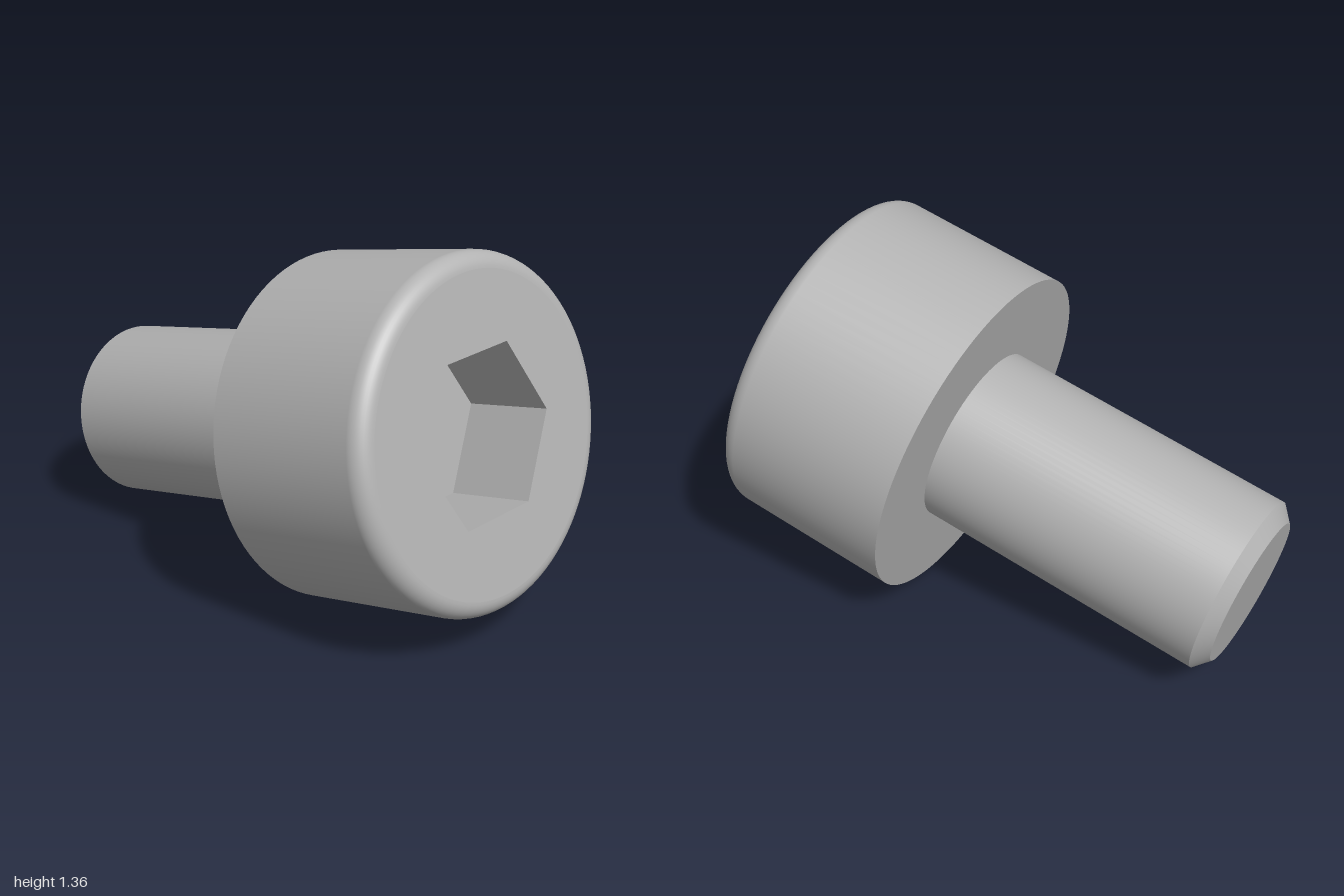
import * as THREE from 'three';

const SEGMENTS = 96;
const HEAD_R = 0.627, HEAD_LEN = 0.68, FILLET = 0.064;
const SHAFT_R = 0.328, RIM_Z = -1.77, TIP_R = 0.272, TIP_Z = -1.82;
const HEX_R = 0.331, HEX_DEPTH = 0.34;

// Surface of revolution about z, from [radius, z] points with z rising
function revolve(points) {
  const profile = points.map(([r, z]) => new THREE.Vector2(r, z));
  return new THREE.LatheGeometry(profile, SEGMENTS).rotateX(Math.PI / 2);
}

export function createModel() {
  const steel = new THREE.MeshStandardMaterial({ color: 0xb3b3b3 });
  steel.name = 'steel';
  const model = new THREE.Group();
  model.name = 'socketHeadScrew';
  const screw = new THREE.Group();
  screw.name = 'screw';
  model.add(screw);

  const add = (name, geometry, z = 0) => {
    const mesh = new THREE.Mesh(geometry, steel);
    mesh.name = name;
    mesh.position.z = z;
    screw.add(mesh);
  };

  // Head wall with its rounded front edge
  const wall = [[HEAD_R, -HEAD_LEN]];
  for (let i = 0; i <= 10; i++) {
    const a = (i / 10) * Math.PI / 2;
    wall.push([HEAD_R - FILLET + FILLET * Math.cos(a), -FILLET + FILLET * Math.sin(a)]);
  }
  add('headWall', revolve(wall));
  add('headUnderside', revolve([[SHAFT_R, -HEAD_LEN], [HEAD_R, -HEAD_LEN]]));

  // Flat front face pierced by the hexagonal socket
  const face = new THREE.Shape().absarc(0, 0, HEAD_R - FILLET, 0, Math.PI * 2, false);
  const hexagon = [];
  for (let i = 0; i < 6; i++) {
    const a = -i * Math.PI / 3;
    hexagon.push(new THREE.Vector2(HEX_R * Math.cos(a), HEX_R * Math.sin(a)));
  }
  face.holes.push(new THREE.Path(hexagon));
  add('headFace', new THREE.ShapeGeometry(face, SEGMENTS));

  // Socket walls, turned inside out so they face the axis
  const socket = new THREE.CylinderGeometry(HEX_R, HEX_R, HEX_DEPTH, 6, 1, true)
    .rotateY(Math.PI / 2).rotateX(Math.PI / 2).scale(-1, 1, 1).toNonIndexed();
  socket.computeVertexNormals();
  add('socketWalls', socket, -HEX_DEPTH / 2);
  add('socketFloor', new THREE.CircleGeometry(HEX_R, 6), -HEX_DEPTH);

  // Plain shaft, chamfer and end
  add('shaft', revolve([[SHAFT_R, RIM_Z], [SHAFT_R, -HEAD_LEN]]));
  add('shaftChamfer', revolve([[TIP_R, TIP_Z], [SHAFT_R, RIM_Z]]));
  add('shaftEnd', revolve([[0, TIP_Z], [TIP_R, TIP_Z]]));

  // Tilt the screw so the head points right, forward and slightly up
  screw.position.set(0.7, 0.759, 0.295);
  screw.lookAt(new THREE.Vector3(0.858, 0.214, 0.467).add(screw.position));
  return model;
}
